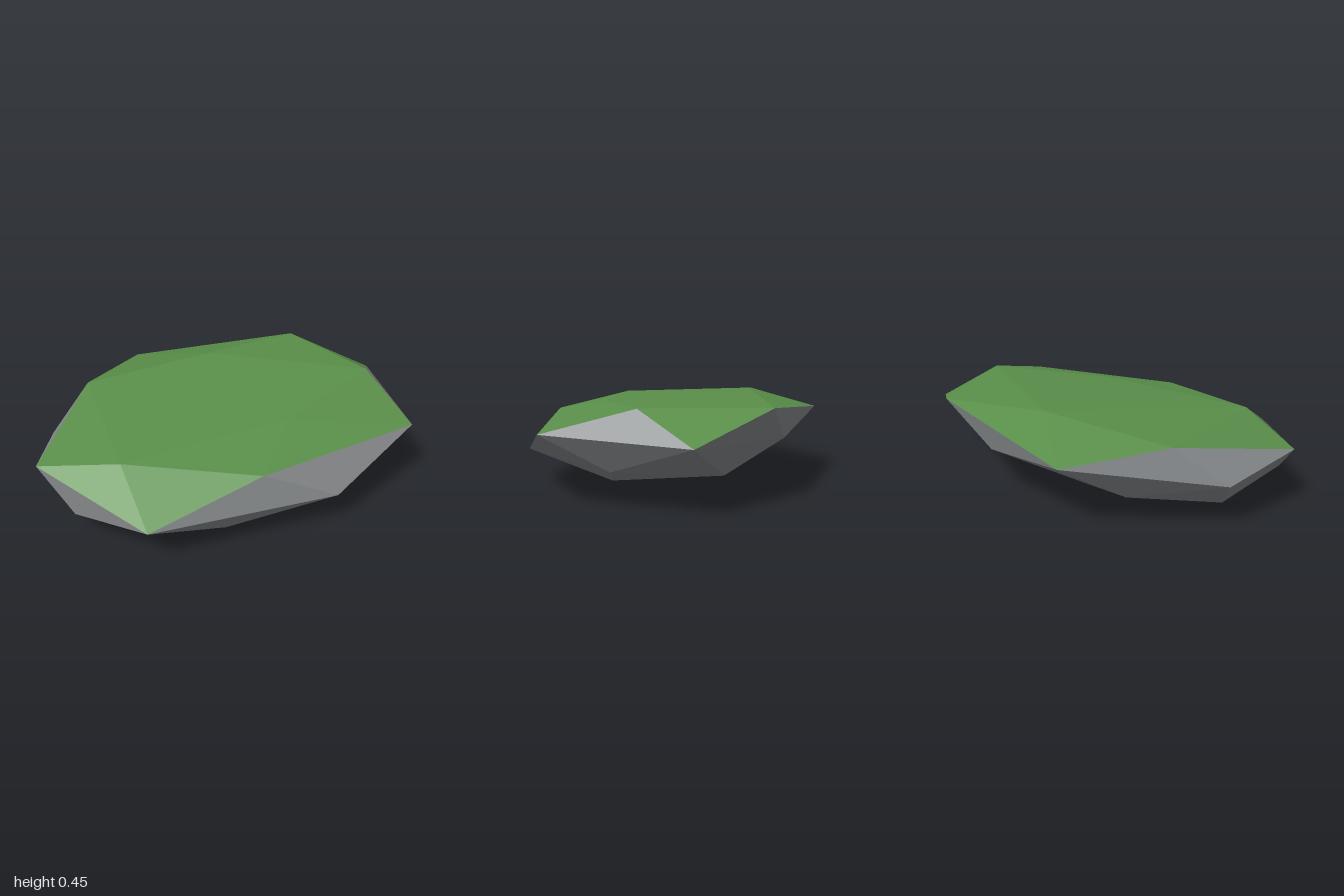
import * as THREE from 'three';
import { ConvexGeometry } from 'three/addons/geometries/ConvexGeometry.js';

// Corner rings of the boulder: [x, y, z]
const crown = [
  [0.10, 0.45, -0.39], [0.67, 0.435, -0.46], [0.81, 0.445, 0.13],
  [0.20, 0.41, 0.37], [-0.66, 0.38, 0.36], [-0.60, 0.41, -0.40],
];
const rim = [
  [-0.21, 0.345, -0.74], [1.0, 0.305, -0.12], [0.815, 0.33, 0.56], [0.28, 0.175, 0.74],
  [-0.08, 0.34, 0.66], [-0.65, 0.21, 0.68], [-1.0, 0.305, 0.11], [-0.835, 0.225, -0.28],
];
const underside = [
  [0.79, 0.165, 0.25], [0.57, 0.11, -0.24], [0.33, 0.25, -0.53], [-0.40, 0.14, -0.46],
  [-0.88, 0.12, 0.30], [-0.71, 0.01, -0.04], [-0.24, 0.05, 0.60], [0.28, 0.015, 0.32],
  [0, 0, -0.18],
];

export function createModel() {
  const stone = new THREE.MeshStandardMaterial({ color: 0x85888a });
  stone.name = 'stone grey';
  const moss = new THREE.MeshStandardMaterial({ color: 0x5a8f4a });
  moss.name = 'moss green';

  // Faceted hull around all corners
  const points = [...crown, ...rim, ...underside].map((p) => new THREE.Vector3(...p));
  const position = new ConvexGeometry(points).getAttribute('position');

  // Facets that face upward carry moss, the rest is bare stone
  const mossy = [], bare = [];
  const tri = new THREE.Triangle(), normal = new THREE.Vector3();
  for (let i = 0; i < position.count; i += 3) {
    tri.setFromAttributeAndIndices(position, i, i + 1, i + 2);
    tri.getNormal(normal);
    (normal.y > 0.72 ? mossy : bare).push(tri.a.clone(), tri.b.clone(), tri.c.clone());
  }

  const group = new THREE.Group();
  group.name = 'boulder';
  const addPart = (name, corners, material) => {
    const geometry = new THREE.BufferGeometry().setFromPoints(corners);
    geometry.computeVertexNormals();
    const mesh = new THREE.Mesh(geometry, material);
    mesh.name = name;
    group.add(mesh);
  };
  addPart('mossTop', mossy, moss);
  addPart('stoneBody', bare, stone);
  return group;
}
